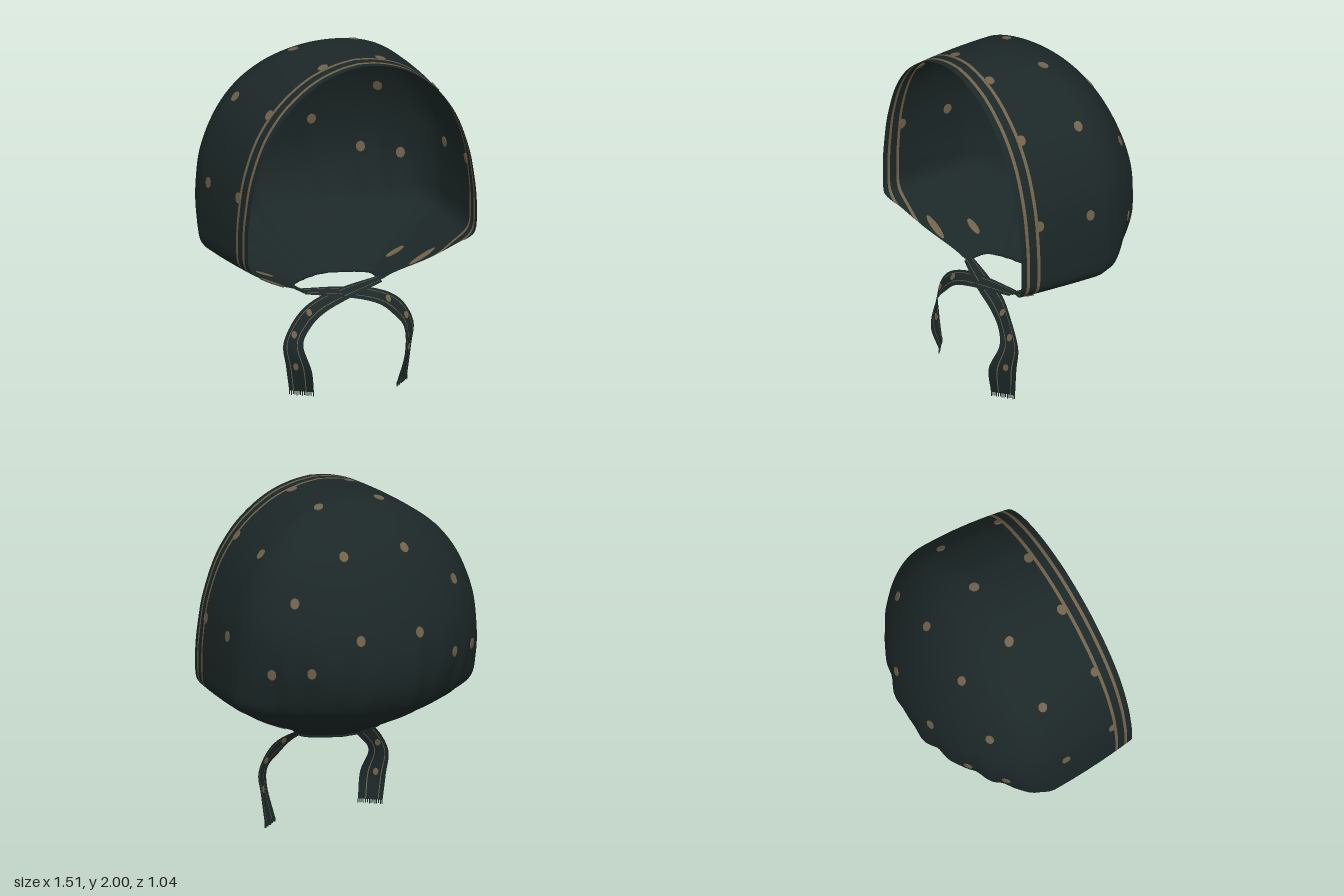
import * as THREE from 'three';

const cloth = new THREE.MeshStandardMaterial({ color: 0x1c2727, side: THREE.DoubleSide });
cloth.name = 'dark green cloth';
const tan = new THREE.MeshStandardMaterial({ color: 0x71624a, side: THREE.DoubleSide });
tan.name = 'tan print';

// Smooth surface through rows of points; columns listed in striped are tan
function gridMesh(name, rows, striped) {
  const n = rows[0].length, geo = new THREE.BufferGeometry(), index = [];
  geo.setAttribute('position', new THREE.Float32BufferAttribute(rows.flat().flatMap(p => p.toArray()), 3));
  for (let c = 0; c < n - 1; c++) {
    geo.addGroup(index.length, (rows.length - 1) * 6, striped.includes(c) ? 1 : 0);
    for (let r = 0; r < rows.length - 1; r++) {
      const a = r * n + c, b = a + n;
      index.push(a, a + 1, b, a + 1, b + 1, b);
    }
  }
  geo.setIndex(index);
  geo.computeVertexNormals();
  const mesh = new THREE.Mesh(geo, [cloth, tan]);
  mesh.name = name;
  return mesh;
}

const spline = pts => new THREE.CatmullRomCurve3(pts.map(p => new THREE.Vector3(...p)), false, 'catmullrom', 0.5);

// Levels from crown to neck: height, half width, back z, side centre z, front edge z
const levels = [
  [2, 0, 0.15, 0.2, 0.515], [1.985, 0.13, 0.03, 0.12, 0.515], [1.94, 0.28, -0.09, 0.06, 0.515],
  [1.86, 0.42, -0.21, 0.02, 0.515], [1.75, 0.545, -0.31, 0, 0.515], [1.6, 0.65, -0.4, 0, 0.515],
  [1.4, 0.725, -0.48, 0, 0.515], [1.2, 0.75, -0.522, 0, 0.515], [1.02, 0.755, -0.515, 0, 0.515],
  [0.88, 0.74, -0.45, 0.01, 0.515], [0.8, 0.635, -0.36, 0.04, 0.45], [0.72, 0.5, -0.23, 0.08, 0.385],
  [0.64, 0.32, -0.06, 0.13, 0.305], [0.595, 0.25, 0.02, 0.15, 0.27],
];
const shapeCurve = spline(levels.map(l => [l[0], l[1], l[2]]));
const edgeCurve = spline(levels.map(l => [l[3], l[4], 0]));
const stops = [0.515, 0.481, 0.462, 0.417, 0.398];
const ARC = 72;

// One U-shaped ring, from left front edge round the back to right front edge
function ring(t) {
  const { x: y, y: w, z: back } = shapeCurve.getPoint(t);
  const { x: mid, y: front } = edgeCurve.getPoint(t);
  const upper = THREE.MathUtils.smoothstep(y, 1, 1.5);
  const side = [...stops, ...[1, 2, 3].map(i => 0.398 + (mid - 0.398) * i / 4)].map(s => {
    const z = Math.max(mid, Math.min(s, front)), k = (z - mid) / (0.515 - mid);
    return new THREE.Vector3(w * (1 - (0.045 + 0.03 * upper) * k * k), y - 0.015 * upper * k * k, z);
  });
  const low = THREE.MathUtils.smoothstep(1.35 - y, 0, 0.4);
  const lowest = THREE.MathUtils.smoothstep(1.15 - y, 0, 0.3);
  const arc = [];
  for (let i = 0; i <= ARC; i++) {
    const a = Math.PI * i / ARC, s = Math.sin(a);
    const pleats = 0.018 * low * s * (Math.cos(a * 18) + 0.5 * Math.sin(a * 29));
    const f = 1 + pleats - (0.015 + 0.04 * low + 0.04 * lowest) * Math.sin(2 * a) ** 2;
    arc.push(new THREE.Vector3(w * f * Math.cos(a), y, mid - (mid - back) * f * s));
  }
  const mirrored = side.map(p => new THREE.Vector3(-p.x, p.y, p.z)).reverse();
  return [...side, ...arc, ...mirrored];
}

// Oval print dot lying in the cloth where a ray meets it, stretched down the slope
const dotGeo = new THREE.CylinderGeometry(0.026, 0.026, 0.008, 14);
function addDot(group, target, origin, dir, width = 1, length = 1.2) {
  const hit = new THREE.Raycaster(origin, dir).intersectObject(target)[0];
  if (!hit) return;
  const n = hit.face.normal, across = new THREE.Vector3(0, 1, 0).cross(n).normalize();
  const dot = new THREE.Mesh(dotGeo, tan);
  dot.name = 'printDot';
  dot.position.copy(hit.point);
  dot.quaternion.setFromRotationMatrix(new THREE.Matrix4().makeBasis(across, n, across.clone().cross(n)));
  dot.scale.set(width, 1, length);
  group.add(dot);
}

// Tie that starts at one side of the neck and hangs on the other
function tie(name, side, lift) {
  const path = [[-0.24, 0.597, 0.255], [0, 0.572, 0.31], [0.18, 0.528, 0.335], [0.295, 0.455, 0.355],
    [0.365, 0.34, 0.372], [0.345, 0.2, 0.4], [0.318, 0.025 + lift, 0.38]];
  const half = [[0, 0.01, -0.025], [0, 0.02, -0.042], [0.012, 0.032, -0.035], [0.032, 0.034, -0.022],
    [0.045, 0.005, -0.034], [0.05, 0, -0.06], [0.055, 0, -0.045]];
  const centre = spline(path), width = spline(half), rows = [];
  const across = [-1, -0.42, -0.34, 0.2, 0.6, 0.67, 1];
  const at = (t, k) => {
    const p = centre.getPoint(t).addScaledVector(width.getPoint(t), k);
    return p.set(p.x * side, p.y, p.z + (side < 0 ? 0.008 : 0));
  };
  for (let i = 0; i <= 48; i++) rows.push(across.map(k => at(i / 48, k)));
  const group = new THREE.Group();
  group.name = name;
  const ribbon = gridMesh('ribbon', rows, [1, 4]);
  group.add(ribbon);
  // dots on the ribbon
  for (const t of [0.42, 0.6, 0.82]) {
    const p = at(t, 0.2), n = at(t + 0.01, 0.2).sub(p).cross(at(t, 1).sub(p)).normalize();
    addDot(group, ribbon, p.clone().addScaledVector(n, 0.03), n.clone().negate(), 0.6, 0.8);
  }
  // frayed end
  const thread = new THREE.BoxGeometry(0.004, 0.025, 0.004);
  for (let i = 0; i < 14; i++) {
    const m = new THREE.Mesh(thread, cloth);
    m.name = 'fringeThread';
    m.position.copy(at(1, -0.97 + i * 0.149));
    m.position.y -= 0.0125 - (i % 3) * 0.003;
    group.add(m);
  }
  return group;
}

export function createModel() {
  const model = new THREE.Group();
  model.name = 'bonnet';

  // Hood with two stripes along the front edge
  const rows = [];
  for (let i = 0; i <= 104; i++) rows.push(ring(i / 104));
  const last = rows[0].length - 2;
  const hood = gridMesh('hood', rows, [1, 3, last - 1, last - 3]);
  model.add(hood);

  // Gathered band round the neck hole
  const neck = new THREE.CatmullRomCurve3(rows[104].slice(8, -8).filter((p, i) => i % 4 === 0));
  const front = new THREE.Vector3(0.235, 0.595, 0.27);
  neck.points.unshift(front);
  neck.points.push(front.clone().setX(-0.235));
  const band = new THREE.Mesh(new THREE.TubeGeometry(neck, 60, 0.009, 8), cloth);
  band.name = 'neckBand';
  model.add(band);

  // Printed dots, mirrored left and right
  const dots = new THREE.Group();
  dots.name = 'printDots';
  const V = (x, y, z) => new THREE.Vector3(x, y, z);
  for (const s of [1, -1]) {
    for (const [x, y] of [[0.19, 1.76], [0.5, 1.53], [0.185, 1.32], [0.45, 1.14], [0.63, 1.12]])
      addDot(dots, hood, V(s * x, y, -2), V(0, 0, 1));
    for (const [z, y] of [[0.39, 1.74], [0.03, 1.74], [0.39, 1.28], [0.07, 1.27]])
      addDot(dots, hood, V(s * 2, y, z), V(-s, 0, 0));
    // long dots gathered towards the neck
    for (const [z, y, length] of [[0.11, 0.68, 2.3], [0.325, 0.71, 3.4]])
      addDot(dots, hood, V(s * 2, y, z), V(-s, 0, 0), 0.85, length);
    for (const [x, z] of [[0.19, 0.03], [0.18, 0.38]])
      addDot(dots, hood, V(s * x, 3, z), V(0, -1, 0));
  }
  model.add(dots);

  model.add(tie('leftTie', 1, 0), tie('rightTie', -1, 0.03));
  return model;
}
